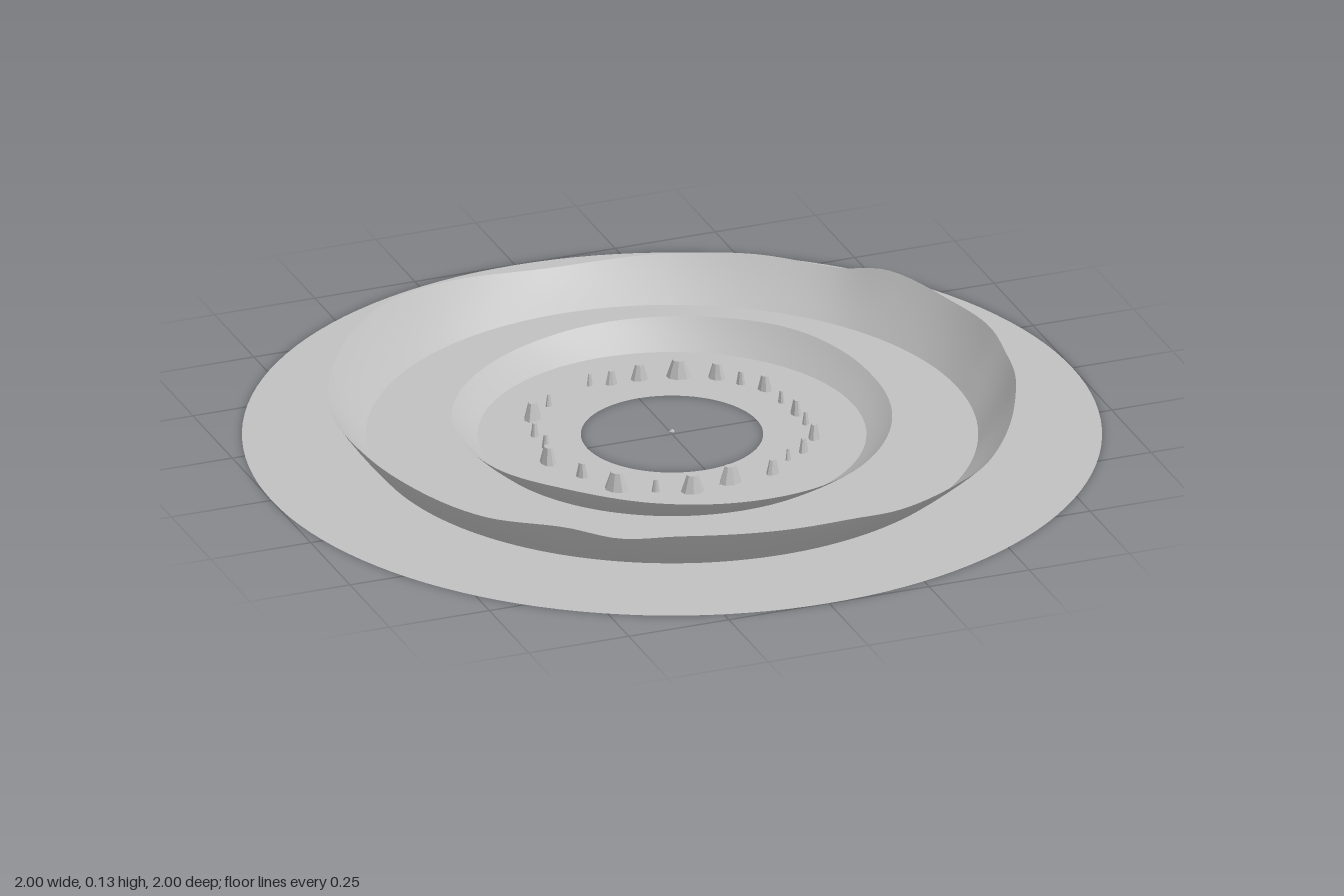
import * as THREE from 'three';

const stone = new THREE.MeshStandardMaterial({ color: 0xc0c0c0, side: THREE.DoubleSide });
stone.name = 'grey stone';

// Smooth periodic height from [degrees, height] pairs
function heightProfile(pairs) {
  const n = pairs.length;
  return (deg) => {
    let i = n - 1;
    while (i > 0 && pairs[i][0] > deg) i--;
    const at = (k) => {
      const turn = Math.floor(k / n);
      const p = pairs[k - turn * n];
      return [p[0] + turn * 360, p[1]];
    };
    const [p0, p1, p2, p3] = [at(i - 1), at(i), at(i + 1), at(i + 2)];
    const span = p2[0] - p1[0];
    const t = (deg - p1[0]) / span;
    const m1 = ((p2[1] - p0[1]) / (p2[0] - p0[0])) * span;
    const m2 = ((p3[1] - p1[1]) / (p3[0] - p1[0])) * span;
    const t2 = t * t, t3 = t2 * t;
    return (2 * t3 - 3 * t2 + 1) * p1[1] + (t3 - 2 * t2 + t) * m1
      + (3 * t2 - 2 * t3) * p2[1] + (t3 - t2) * m2;
  };
}

// Flared open wall whose rim follows the height profile
function flaredWall(name, inner, outer, height) {
  const sides = 160, rows = 5;
  const pos = [], index = [];
  for (let j = 0; j <= rows; j++) {
    const v = j / rows;
    for (let i = 0; i < sides; i++) {
      const deg = (i / sides) * 360, a = THREE.MathUtils.degToRad(deg);
      const r = inner + (outer - inner) * (v + 0.18 * v * (1 - v));
      pos.push(r * Math.cos(a), height(deg) * v, r * Math.sin(a));
    }
  }
  for (let j = 0; j < rows; j++) {
    for (let i = 0; i < sides; i++) {
      const a = j * sides + i, b = j * sides + ((i + 1) % sides);
      index.push(a, a + sides, b, b, a + sides, b + sides);
    }
  }
  const geo = new THREE.BufferGeometry();
  geo.setAttribute('position', new THREE.Float32BufferAttribute(pos, 3));
  geo.setIndex(index);
  geo.computeVertexNormals();
  const mesh = new THREE.Mesh(geo, stone);
  mesh.name = name;
  return mesh;
}

export function createModel() {
  const model = new THREE.Group();
  model.name = 'ringedDisc';

  // Flat base with a round hole
  const base = new THREE.Mesh(new THREE.RingGeometry(0.212, 1, 128).rotateX(-Math.PI / 2), stone);
  base.name = 'baseDisc';
  model.add(base);

  // Two uneven ridges
  model.add(flaredWall('outerRidge', 0.712, 0.8, heightProfile([
    [0, 0.132], [8, 0.118], [22, 0.125], [30, 0.1], [45, 0.075], [55, 0.08], [70, 0.085],
    [80, 0.1], [90, 0.105], [110, 0.11], [120, 0.1], [130, 0.115], [145, 0.1], [165, 0.11],
    [180, 0.115], [200, 0.1], [220, 0.122], [235, 0.13], [250, 0.11], [270, 0.078],
    [290, 0.09], [305, 0.1], [320, 0.1], [330, 0.13], [345, 0.124],
  ])));
  model.add(flaredWall('innerRidge', 0.452, 0.512, heightProfile([
    [0, 0.05], [30, 0.045], [60, 0.04], [90, 0.05], [115, 0.06], [140, 0.068], [165, 0.055],
    [195, 0.05], [225, 0.045], [250, 0.05], [275, 0.06], [300, 0.065], [325, 0.07], [345, 0.06],
  ])));

  // Ring of small standing stones: x, z, half width
  const stones = [
    [-0.08, -0.32, 0.008], [-0.03, -0.31, 0.015], [0.04, -0.31, 0.021], [0.13, -0.29, 0.029],
    [0.21, -0.25, 0.021], [0.25, -0.2, 0.012], [0.29, -0.15, 0.019], [0.3, -0.07, 0.009],
    [0.31, 0, 0.018], [0.31, 0.06, 0.011], [0.3, 0.14, 0.019], [0.25, 0.2, 0.015],
    [0.2, 0.23, 0.008], [0.14, 0.285, 0.018], [0.03, 0.295, 0.028], [-0.07, 0.31, 0.028],
    [-0.15, 0.28, 0.01], [-0.23, 0.235, 0.03], [-0.28, 0.14, 0.016], [-0.325, 0.04, 0.025],
    [-0.3, -0.04, 0.013], [-0.3, -0.11, 0.013], [-0.27, -0.2, 0.027], [-0.21, -0.25, 0.009],
  ];
  const ring = new THREE.Group();
  ring.name = 'stoneRing';
  stones.forEach(([x, z, w], i) => {
    const h = 0.024 + w * 0.65;
    const geo = new THREE.CylinderGeometry(w * 0.5, w, h, 8).toNonIndexed();
    geo.computeVertexNormals();
    const mesh = new THREE.Mesh(geo, stone);
    mesh.name = 'stone' + (i + 1);
    mesh.scale.z = 0.72;
    mesh.position.set(x, h / 2, z);
    mesh.rotation.y = Math.atan2(x, z);
    ring.add(mesh);
  });
  model.add(ring);

  // Tiny marker at the centre of the hole
  const marker = new THREE.Mesh(new THREE.OctahedronGeometry(0.007), stone);
  marker.name = 'centreMarker';
  marker.position.y = 0.007;
  model.add(marker);

  return model;
}
